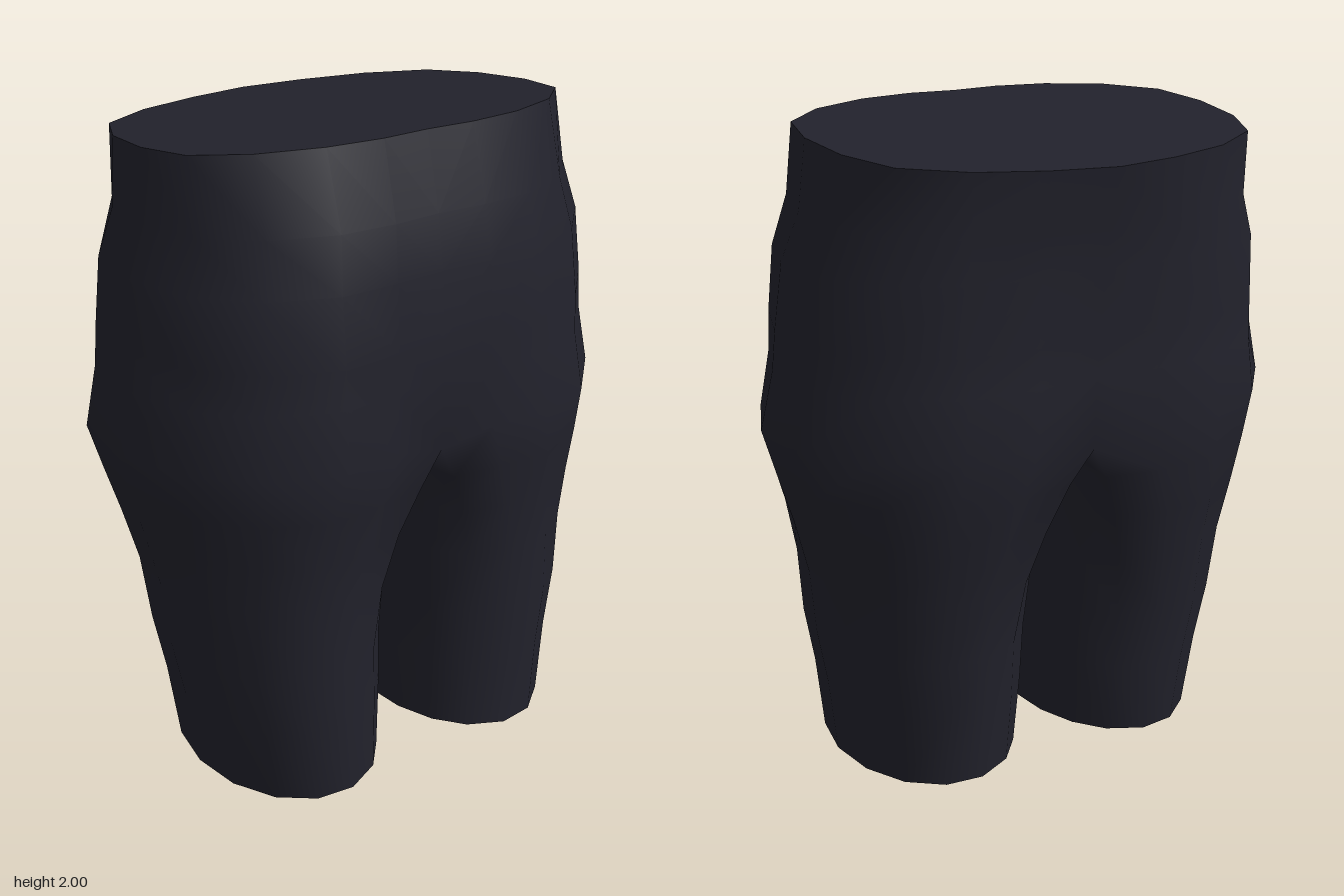
import * as THREE from 'three';
import { mergeVertices } from 'three/addons/utils/BufferGeometryUtils.js';

// Half outlines [x, z] from front centre round the left side to back centre
const RIM = [[0, 0.40], [0.15, 0.41], [0.32, 0.39], [0.5, 0.32], [0.63, 0.2], [0.665, 0.02],
  [0.645, -0.18], [0.57, -0.35], [0.4, -0.46], [0.2, -0.52], [0, -0.55]];
const HIP = [[0, 0.515], [0.17, 0.525], [0.355, 0.547], [0.56, 0.47], [0.73, 0.3], [0.815, 0.08],
  [0.8, -0.15], [0.65, -0.33], [0.43, -0.46], [0.2, -0.465], [0, -0.44]];

// Torso rows: height, half width, front z, back z, slope towards the front, blend rim -> hip
const TORSO = [
  [1.965, 0.665, 0.41, -0.55, 0.084, 0],
  [1.76, 0.685, 0.475, -0.51, 0.04, 0.3],
  [1.62, 0.74, 0.505, -0.495, 0, 0.5],
  [1.42, 0.765, 0.525, -0.475, 0, 0.7],
  [1.3, 0.775, 0.527, -0.47, 0, 0.85],
  [1.12, 0.815, 0.547, -0.465, 0, 1],
];
// Leg rows: height, inner x, outer x, front z, back z, blend hip outline -> oval
const LEG = [
  [0.97, 0.003, 0.776, 0.53, -0.445, 0.3],
  [0.82, 0.01, 0.735, 0.51, -0.42, 0.6],
  [0.65, 0.02, 0.695, 0.497, -0.385, 0.85],
  [0.44, 0.025, 0.675, 0.493, -0.355, 1],
  [0.25, 0.03, 0.64, 0.49, -0.33, 1],
  [0, 0.045, 0.61, 0.49, -0.30, 1],
];
const lerp = THREE.MathUtils.lerp;
const INNER = 5; // points along the inside of the leg

// Outline point scaled to unit width and unit front / back depth
function unit(outline, j) {
  const w = Math.max(...outline.map((p) => p[0]));
  const f = Math.max(...outline.map((p) => p[1]));
  const b = Math.min(...outline.map((p) => p[1]));
  const [x, z] = outline[j];
  return [x / w, z > 0 ? z / f : -z / b];
}

function torsoRow([y, w, f, b, slope, t]) {
  return RIM.map((_, j) => {
    const p = unit(RIM, j), q = unit(HIP, j);
    const n = lerp(p[1], q[1], t);
    const z = n > 0 ? n * f : -n * b;
    return [lerp(p[0], q[0], t) * w, y + z * slope, z];
  });
}

function legRow([y, xi, xo, f, b, t]) {
  const row = [];
  for (let j = 0; j < 11 + INNER; j++) {
    const deg = j <= 10 ? 120 - 24 * j : -120 - 20 * (j - 10);
    const a = THREE.MathUtils.degToRad(deg);
    const q = j <= 10 ? unit(HIP, j) : [0, lerp(-0.93, 0.93, (j - 10) / (INNER + 1))];
    const u = lerp(q[0], (1 + Math.cos(a)) / 2, t);
    const zHip = q[1] > 0 ? q[1] * f : -q[1] * b;
    const zOval = (f + b) / 2 + Math.sin(a) * (f - b) / 2;
    row.push([lerp(xi, xo, u), y + (y === 0 ? 0.015 * (1 - u) : 0), lerp(zHip, zOval, t)]);
  }
  return row;
}

// Mirrors triangles across x = 0 and welds them into one smooth surface
function mirrored(tris) {
  const flat = [];
  for (const [a, b, c] of tris) {
    flat.push(...a, ...b, ...c);
    for (const p of [a, c, b]) flat.push(-p[0], p[1], p[2]);
  }
  const g = new THREE.BufferGeometry();
  g.setAttribute('position', new THREE.Float32BufferAttribute(flat, 3));
  const welded = mergeVertices(g, 1e-4);
  welded.computeVertexNormals();
  return welded;
}

function strip(tris, upper, lower, count) {
  for (let j = 0; j < count; j++) {
    const k = (j + 1) % upper.length;
    tris.push([upper[j], lower[j], upper[k]], [upper[k], lower[j], lower[k]]);
  }
}

export function createModel() {
  const group = new THREE.Group();
  group.name = 'shorts';
  const cloth = new THREE.MeshStandardMaterial({ color: 0x22222c, side: THREE.DoubleSide });
  cloth.name = 'dark navy cloth';

  // Torso from waist to hips
  const torso = TORSO.map(torsoRow);
  const hip = torso[torso.length - 1];
  hip[0][1] = 1.08;
  hip[0][2] = 0.5;
  hip[10][1] = 1.08;
  const tris = [];
  for (let i = 0; i < torso.length - 1; i++) strip(tris, torso[i], torso[i + 1], 10);

  // Crotch arch closes each leg on the centre line, then the legs run down
  const arch = [];
  for (let k = 1; k <= INNER; k++) {
    const s = k / (INNER + 1);
    arch.push([0, 1.08 - 0.08 * Math.sin(Math.PI * s), lerp(hip[10][2], hip[0][2], s)]);
  }
  const legs = [[...hip, ...arch], ...LEG.map(legRow)];
  for (let i = 0; i < legs.length - 1; i++) strip(tris, legs[i], legs[i + 1], 11 + INNER);
  const body = new THREE.Mesh(mirrored(tris), cloth);
  body.name = 'torsoAndLegs';
  group.add(body);

  // Flat sloping lid at the waist
  const centre = [0, 1.965 - 0.05 * 0.084, -0.05];
  const lid = [];
  for (let j = 0; j < 10; j++) lid.push([centre, torso[0][j], torso[0][j + 1]]);
  const waist = new THREE.Mesh(mirrored(lid), cloth);
  waist.name = 'waistLid';
  group.add(waist);
  return group;
}
